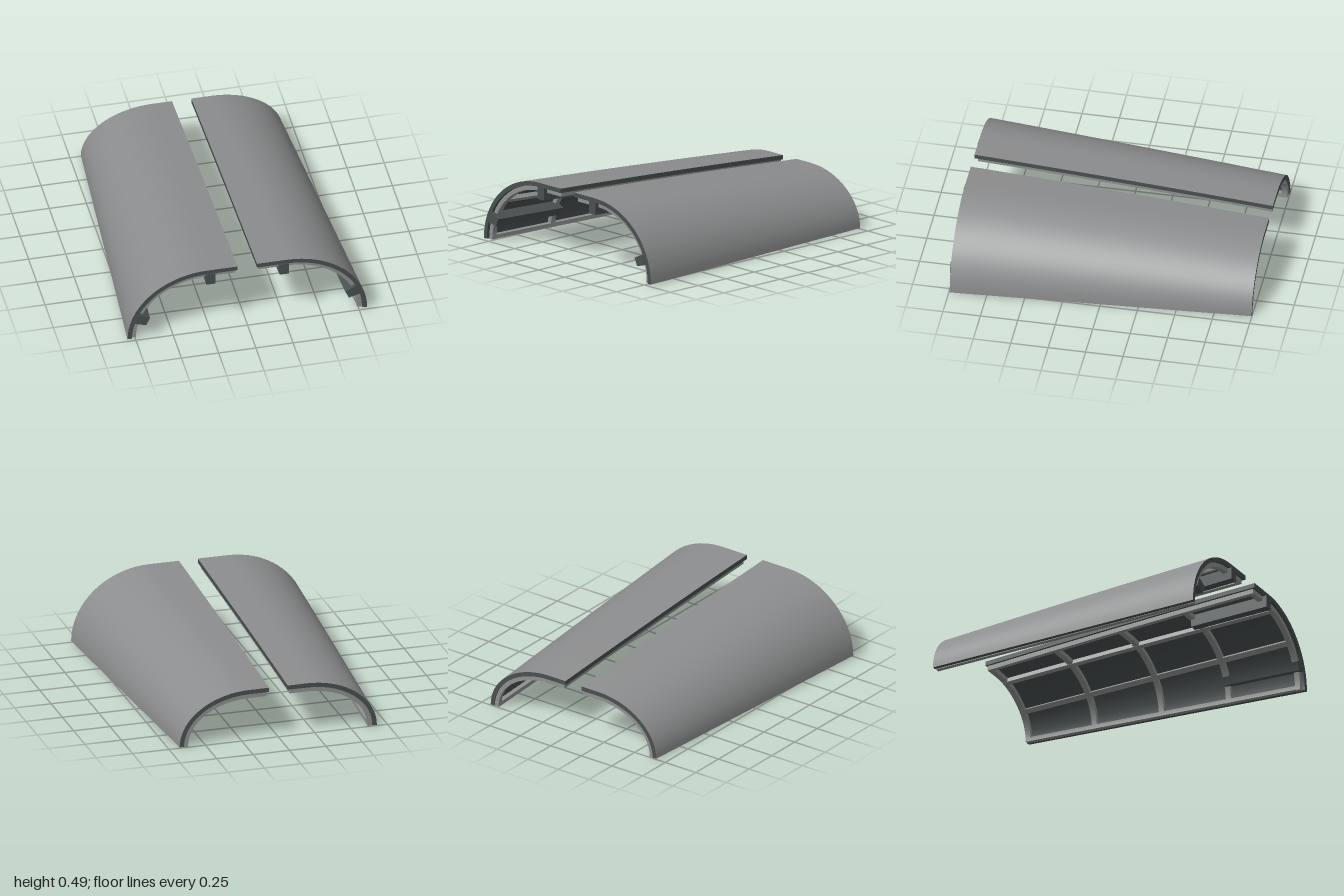
import * as THREE from 'three';

const skinGrey = new THREE.MeshStandardMaterial({ color: 0x8c8d8e });
skinGrey.name = 'skinGrey';
const frameGrey = new THREE.MeshStandardMaterial({ color: 0x8f9191 });
frameGrey.name = 'frameGrey';
const darkGrey = new THREE.MeshStandardMaterial({ color: 0x495050 });
darkGrey.name = 'darkGrey';

const { lerp } = THREE.MathUtils;
const FRONT = 0.992, BACK = -1;

// Point on the tapering cover: t = 0 is the lower edge, 90 the start of the
// flat crown, 120 the centre edge; d is the depth below the outer surface.
function coverPoint(t, d, z) {
  const k = (FRONT - z) / (FRONT - BACK);
  const crown = lerp(0.27, 0.20, k);
  const side = lerp(0.805, 0.677, k);
  const base = lerp(0.012, 0.006, k);
  const top = lerp(0.492, 0.355, k) + 0.006 * (1 - z * z);
  if (t > 90) return [lerp(crown, 0.065, (t - 90) / 30), top - d];
  const a = THREE.MathUtils.degToRad(t);
  return [crown + (side - crown - d) * Math.cos(a), base + (top - base - d) * Math.sin(a)];
}

// Solid curved block lying in the cover. t is [from, to] at the front and may
// have a second pair for the back, so that a bar can drift along its length.
function curvedBlock(name, side, { t, tBack = t, d, z, nt, nz }, materials) {
  const positions = [], index = [], groups = [];
  const at = (u, v, w) => {
    const zz = lerp(z[0], z[1], w);
    const k = (FRONT - zz) / (FRONT - BACK);
    const tt = lerp(lerp(t[0], tBack[0], k), lerp(t[1], tBack[1], k), u);
    const [x, y] = coverPoint(tt, lerp(d[0], d[1], v), zz);
    return [x * side, y, zz];
  };
  // Each face has its own vertices, so its edges stay sharp
  const face = (f, na, nb, flip, material) => {
    const start = positions.length / 3, first = index.length;
    for (let i = 0; i <= na; i++) {
      for (let j = 0; j <= nb; j++) positions.push(...f(i / na, j / nb));
    }
    for (let i = 0; i < na; i++) {
      for (let j = 0; j < nb; j++) {
        const a = start + i * (nb + 1) + j, b = a + nb + 1;
        if (flip !== side < 0) index.push(a, a + 1, b, b, a + 1, b + 1);
        else index.push(a, b, a + 1, b, b + 1, a + 1);
      }
    }
    groups.push([first, index.length - first, material]);
  };
  // t runs toward the centre, d inward, z from back to front
  face((u, w) => at(u, 0, w), nt, nz, false, 0);
  face((u, w) => at(u, 1, w), nt, nz, true, 1);
  face((v, w) => at(0, v, w), 1, nz, true, 1);
  face((v, w) => at(1, v, w), 1, nz, false, 1);
  face((u, v) => at(u, v, 0), nt, 1, true, 1);
  face((u, v) => at(u, v, 1), nt, 1, false, 1);

  const geometry = new THREE.BufferGeometry();
  geometry.setAttribute('position', new THREE.Float32BufferAttribute(positions, 3));
  geometry.setIndex(index);
  geometry.computeVertexNormals();
  groups.forEach(g => geometry.addGroup(...g));
  const mesh = new THREE.Mesh(geometry, materials);
  mesh.name = name;
  return mesh;
}

function createCover(side) {
  const cover = new THREE.Group();
  cover.name = side > 0 ? 'leftCover' : 'rightCover';
  const add = (name, spec, outer, inner = outer) =>
    cover.add(curvedBlock(name, side, { nt: 4, nz: 8, ...spec }, [outer, inner]));

  // Outer shell with dark edges and lining
  add('shell', { t: [0, 120], d: [0, 0.03], z: [BACK, FRONT], nt: 24, nz: 12 }, skinGrey, darkGrey);

  // Cross ribs
  for (const z of [0.955, 0.46, -0.02, -0.5, -0.975]) {
    add('rib', { t: [-0.6, 117], d: [0.029, 0.06], z: [z - 0.018, z + 0.018], nt: 24, nz: 1 }, frameGrey);
  }

  // Lengthwise bars: lower edge, two in the field, centre edge
  const bars = [
    ['lowerRail', [-0.2, 3.5], [-1, 4.5]],
    ['lowerStringer', [40, 44.5], [33, 38.5]],
    ['upperStringer', [75, 79], [73, 78]],
    ['centreRail', [113, 117.8], [110, 116.7]],
  ];
  for (const [name, t, tBack] of bars) {
    add(name, { t, tBack, d: [0.029, 0.061], z: [-0.992, 0.972] }, frameGrey);
  }

  // Mounting arms reaching out at the front
  add('lowerArm', { t: [16, 25], d: [0.029, 0.11], z: [0.45, 1] }, darkGrey);
  add('upperArm', { t: [89, 98], d: [0.029, 0.11], z: [0.45, 1] }, darkGrey);
  return cover;
}

export function createModel() {
  const model = new THREE.Group();
  model.name = 'splitCover';
  model.add(createCover(1), createCover(-1));
  return model;
}
